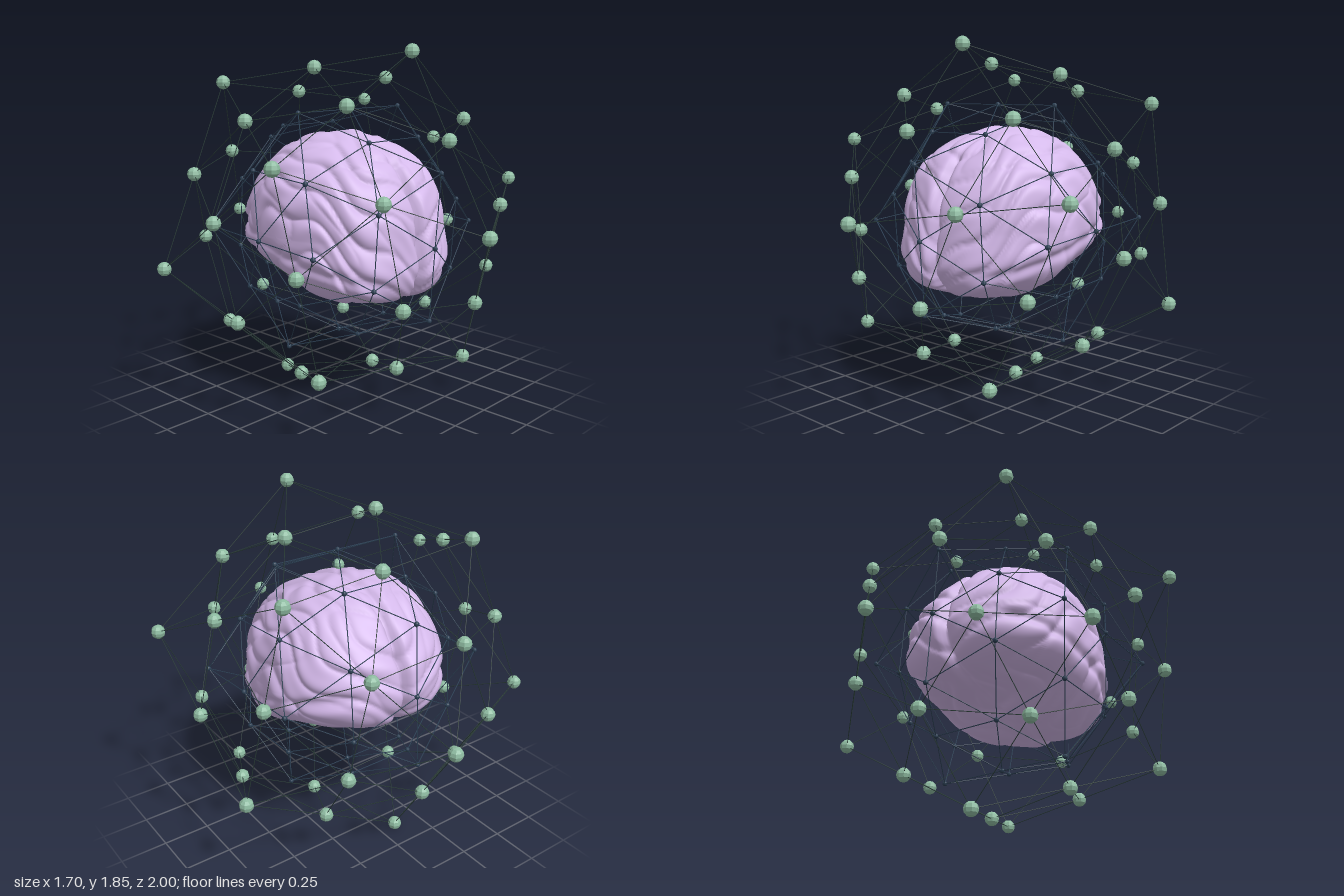
import * as THREE from 'three';

const mat = (color, flatShading = false) => new THREE.MeshStandardMaterial({ color, flatShading });

// Icosahedron corners, edge midpoints and the struts of its once-divided faces
function icoFrame(radius, rotation) {
  const t = (1 + Math.sqrt(5)) / 2, s = radius / Math.hypot(1, t), corners = [];
  for (const a of [-s, s]) for (const b of [-s * t, s * t])
    corners.push(new THREE.Vector3(a, b, 0), new THREE.Vector3(0, a, b), new THREE.Vector3(b, 0, a));
  corners.forEach(c => c.applyQuaternion(rotation));
  const near = (p, q, d) => Math.abs(p.distanceTo(q) - d) < 0.05 * radius;
  const mids = [], struts = [];
  corners.forEach((p, i) => corners.slice(i + 1).forEach(q => {
    if (!near(p, q, 2 * s)) return;
    const m = p.clone().lerp(q, 0.5);
    mids.push(m);
    struts.push([p, m], [m, q]);
  }));
  mids.forEach((p, i) => mids.slice(i + 1).forEach(q => {
    if (near(p, q, s)) struts.push([p, q]);
  }));
  return { nodes: [...corners, ...mids], struts };
}

// A cage of thin struts with a ball on every joint
function cage(name, centerY, radius, rotation, nodeRadius, wireRadius, nodeMat, wireMat) {
  const group = new THREE.Group();
  group.name = name;
  const { nodes, struts } = icoFrame(radius, rotation);
  const ball = new THREE.SphereGeometry(nodeRadius, 8, 6);
  const rod = new THREE.CylinderGeometry(wireRadius, wireRadius, 1, 5, 1, true);
  for (const p of nodes) {
    const m = new THREE.Mesh(ball, nodeMat);
    m.name = name + 'Node';
    m.position.copy(p);
    group.add(m);
  }
  const up = new THREE.Vector3(0, 1, 0);
  for (const [p, q] of struts) {
    const d = q.clone().sub(p), m = new THREE.Mesh(rod, wireMat);
    m.name = name + 'Strut';
    m.position.copy(p).lerp(q, 0.5);
    m.scale.y = d.length();
    m.quaternion.setFromUnitVectors(up, d.normalize());
    group.add(m);
  }
  group.position.y = centerY;
  return group;
}

// Depth of the folds at a point measured from the brain's middle
function folds(x, y, z) {
  const ax = Math.abs(x);
  const side = x < 0 ? 0.7 : 0;
  const warp = 1.5 * Math.sin(8 * z + 4 * y + side) + 0.9 * Math.sin(15 * z - 9 * ax + 1 + side);
  const main = Math.abs(Math.sin(15 * (ax - y) + warp));
  const cross = Math.abs(Math.sin(10 * z + 1.6 * Math.sin(9 * (ax - y) + side) + 0.6));
  const fine = Math.sin(34 * (ax - y) + 2 * warp + 5 * Math.sin(6 * z));
  let d = -0.035 * Math.pow(1 - main, 2) - 0.015 * Math.pow(1 - cross, 4) + 0.007 * fine;
  // cleft above the side lobe
  const cleft = y + 0.09 + 0.28 * z;
  d -= 0.035 * Math.exp(-Math.pow(cleft / 0.03, 2)) * THREE.MathUtils.smoothstep(ax, 0.2, 0.36);
  // cleft between the two halves, deeper towards the front and back ends
  const ends = THREE.MathUtils.smoothstep(Math.abs(z), 0.25, 0.5);
  return d - (0.04 + 0.07 * ends) * Math.exp(-Math.pow(ax / 0.025, 2))
    - 0.02 * ends * Math.exp(-Math.pow(ax / 0.07, 2));
}

function brainGeometry() {
  // side outline as (z, y), from the front over the top and back underneath
  const outline = new THREE.CatmullRomCurve3([
    [0.53, 0.85], [0.50, 1.05], [0.37, 1.26], [0.2, 1.355], [-0.02, 1.405], [-0.24, 1.36], [-0.41, 1.22],
    [-0.5, 1.09], [-0.55, 0.94], [-0.52, 0.83], [-0.44, 0.755], [-0.3, 0.705], [-0.14, 0.665],
    [0.03, 0.595], [0.2, 0.55], [0.35, 0.575], [0.48, 0.62], [0.54, 0.73],
  ].map(([z, y]) => new THREE.Vector3(0, y - 0.92, z)), true);
  const rings = 170, steps = 200, pos = [], index = [];
  const profile = outline.getSpacedPoints(steps);
  for (let i = 0; i <= rings; i++) {
    const f = (i / rings - 0.5) * Math.PI;
    for (let j = 0; j < steps; j++) {
      const p = profile[j];
      // boxier underneath than on top and at the ends
      const tilt = p.y / p.length();
      const e = 2 / (2.1 + (tilt > 0 ? 0.12 : -0.4) * tilt);
      const s = Math.pow(Math.max(Math.cos(f), 0), e);
      const x = 0.49 * Math.sign(f) * Math.pow(Math.abs(Math.sin(f)), e);
      const y = p.y * s, z = p.z * s;
      const k = 1.008 + folds(x, y, z);
      pos.push(x * k, y * k, z * k);
      if (i < rings) {
        const a = i * steps + j, b = i * steps + (j + 1) % steps;
        index.push(a, a + steps, b, b, a + steps, b + steps);
      }
    }
  }
  const g = new THREE.BufferGeometry();
  g.setAttribute('position', new THREE.Float32BufferAttribute(pos, 3));
  g.setIndex(index);
  g.computeVertexNormals();
  return g;
}

export function createModel() {
  const model = new THREE.Group();
  model.name = 'brainInCages';

  const brain = new THREE.Mesh(brainGeometry(), mat(0xd4b9ea));
  brain.name = 'brain';
  brain.position.y = 0.92;
  model.add(brain);

  // inner cage, tipped slightly forward
  const innerTurn = new THREE.Quaternion().setFromEuler(new THREE.Euler(0.0715, 0, 0));
  const innerMat = mat(0x2c4054, true);
  model.add(cage('innerCage', 0.919, 0.709, innerTurn, 0.013, 0.0025, innerMat, innerMat));

  // outer cage, turned freely
  const xAxis = new THREE.Vector3(-0.182, 0.978, -0.085).normalize();
  const zAxis = new THREE.Vector3(0.447, 0.159, 0.878).normalize();
  const yAxis = zAxis.clone().cross(xAxis).normalize();
  zAxis.crossVectors(xAxis, yAxis);
  const outerTurn = new THREE.Quaternion().setFromRotationMatrix(
    new THREE.Matrix4().makeBasis(xAxis, yAxis, zAxis));
  model.add(cage('outerCage', 0.927, 0.967, outerTurn, 0.037, 0.002, mat(0x8fbca2, true), mat(0x2a3d38)));

  return model;
}
